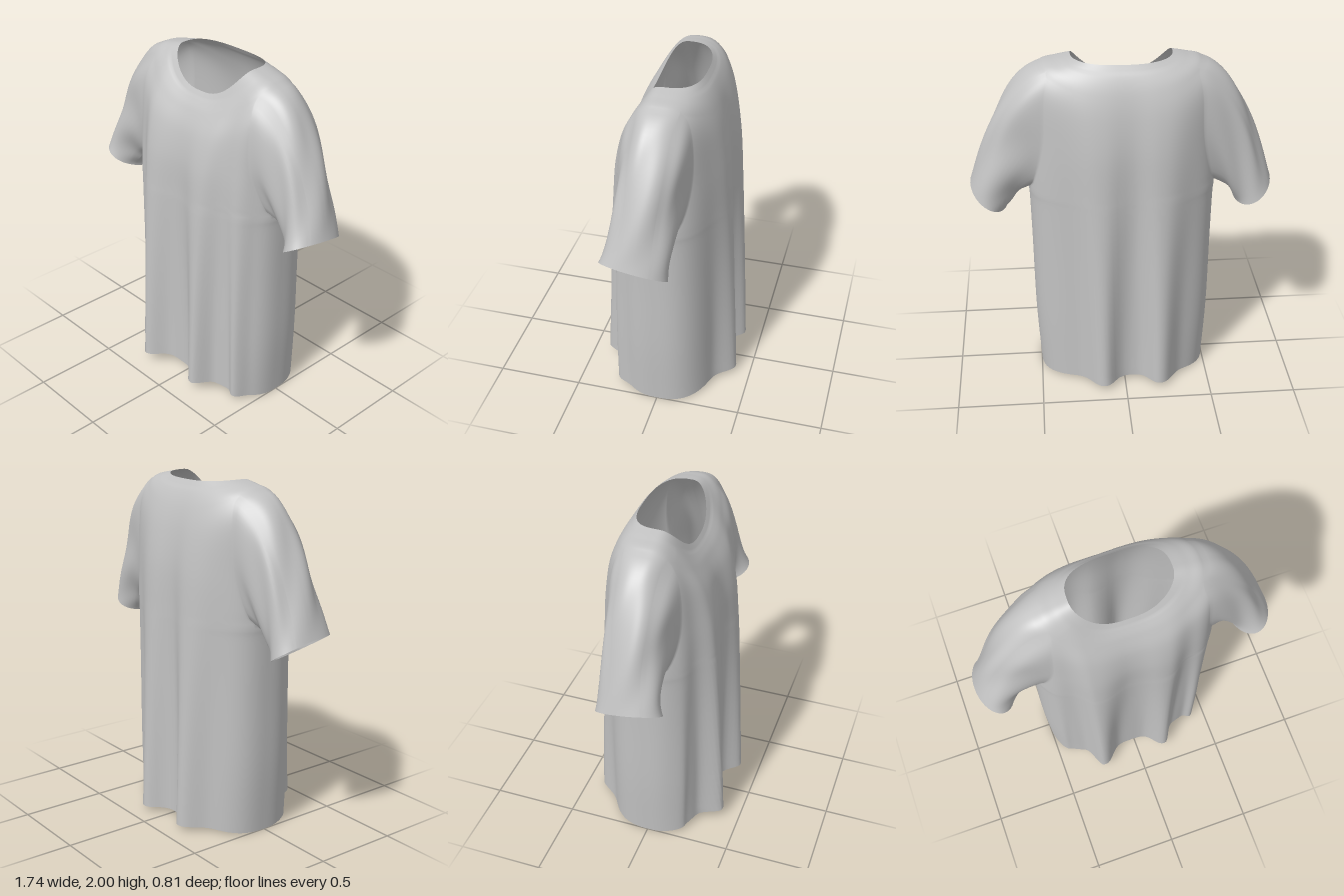
import * as THREE from 'three';

const U = 192;            // columns around the body
const SUB = 6;            // rows per profile span
const HALF = 16;          // half width of an armhole, in columns
const ARM_LOW = 4 * SUB, ARM_HIGH = 7 * SUB;
const SLEEVE_ROWS = 26;

// Profiles from hem to neckline: [outward, height]
const sideProfile = [[.5, 0], [.52, .4], [.525, .85], [.53, 1.15], [.535, 1.25], [.527, 1.52], [.525, 1.86], [.45, 1.957], [.36, 1.984], [.28, 2]];
const frontProfile = [[.3, .07], [.295, .42], [.29, .85], [.287, 1.15], [.284, 1.25], [.276, 1.45], [.245, 1.62], [.2, 1.73], [.168, 1.785], [.14, 1.83]];
const backProfile = [[.31, .03], [.305, .4], [.3, .85], [.298, 1.15], [.297, 1.25], [.292, 1.5], [.27, 1.7], [.24, 1.84], [.205, 1.93], [.17, 1.985]];

// Hanging folds: [x, depth, width towards -x, width towards +x]
const frontFolds = [[-.25, .12, .035, .07], [.175, .105, .06, .04], [.41, .05, .03, .025], [-.46, .02, .03, .03]];
const backFolds = [[-.21, .105, .065, .06], [.13, .105, .06, .065]];

const curve = (pts) => new THREE.CatmullRomCurve3(pts.map(([a, b]) => new THREE.Vector3(a, b, 0)), false, 'catmullrom', 0.5);
const softPow = (v) => Math.sign(v) * Math.pow(Math.abs(v), 0.75);

// Half angle of the oval armhole at a row, in radians
function armholeAngle(r) {
  const s = (r - ARM_LOW) / (ARM_HIGH - ARM_LOW);
  let degrees = 25;
  if (s < 0) degrees = THREE.MathUtils.lerp(14, 34, 1 - r / ARM_LOW);
  else if (s < 1) degrees = 14 + 11 * s + 19 * Math.pow(Math.sin(Math.PI * s), 0.65);
  return THREE.MathUtils.degToRad(degrees);
}

// Column to angle, so that column HALF follows the armhole edge
function columnAngle(u, r) {
  const quarter = U / 4, edge = armholeAngle(r);
  const q = Math.round(u / (U / 2)) * (U / 2);
  const d = u - q, k = Math.abs(d);
  const a = k <= HALF ? edge * k / HALF : edge + (Math.PI / 2 - edge) * (k - HALF) / (quarter - HALF);
  return q / U * Math.PI * 2 + Math.sign(d) * a;
}

export function createModel() {
  const fabric = new THREE.MeshStandardMaterial({ color: 0xc2c2c2, side: THREE.DoubleSide });
  fabric.name = 'grey fabric';

  const verts = [];
  const add = (p) => verts.push(p) - 1;
  const quad = (list, a, b, c, d) => list.push(a, d, c, a, c, b);

  // Body: rings lofted between side, front and back profiles
  const rows = (sideProfile.length - 1) * SUB;
  const [side, front, back] = [sideProfile, frontProfile, backProfile].map(curve);
  for (let r = 0; r <= rows; r++) {
    const t = r / rows;
    const s = side.getPoint(t), f = front.getPoint(t), b = back.getPoint(t);
    // folds grow shallower and wider towards the chest
    const fade = Math.pow(THREE.MathUtils.clamp((1.8 - f.y) / 1.8, 0, 1), 0.6);
    const spread = 1 + 1.2 * Math.pow(f.y / 1.8, 2);
    for (let u = 0; u < U; u++) {
      const a = columnAngle(u, r), c = Math.cos(a), n = Math.sin(a);
      const face = n >= 0 ? f : b;
      const x = s.x * softPow(c);
      let z = face.x * softPow(n);
      for (const [fx, depth, wl, wr] of n >= 0 ? frontFolds : backFolds) {
        const edge = Math.min(1, Math.abs(n) * 3 * Math.abs(n));
        const width = (x < fx ? wl : wr) * spread;
        z += Math.sign(n) * edge * depth * fade * Math.exp(-Math.pow(Math.abs(x - fx) / width, 2.4) / 2);
      }
      add(new THREE.Vector3(x, s.y * c * c + face.y * n * n, z));
    }
  }
  const id = (u, r) => r * U + (u + U) % U;

  // Body faces, leaving the armholes open
  const bodyFaces = [];
  const inArmhole = (u, r) => {
    if (r < ARM_LOW || r >= ARM_HIGH) return false;
    return [0, U / 2, U].some((m) => u >= m - HALF && u < m + HALF);
  };
  for (let r = 0; r < rows; r++) {
    for (let u = 0; u < U; u++) {
      if (!inArmhole(u, r)) quad(bodyFaces, id(u, r), id(u + 1, r), id(u + 1, r + 1), id(u, r + 1));
    }
  }

  // Sleeves: continue each armhole edge along curves to a tilted oval cuff
  function sleeve(mid, sign) {
    const loop = [];
    for (let u = -HALF; u < HALF; u++) loop.push(id(mid + u, ARM_LOW));
    for (let r = ARM_LOW; r < ARM_HIGH; r++) loop.push(id(mid + HALF, r));
    for (let u = HALF; u > -HALF; u--) loop.push(id(mid + u, ARM_HIGH));
    for (let r = ARM_HIGH; r > ARM_LOW; r--) loop.push(id(mid - HALF, r));

    const columns = loop.map((start) => {
      const p0 = verts[start];
      const ang = Math.atan2((p0.y - 1.6) / 0.35, p0.z / 0.19);
      const c = Math.cos(ang), n = Math.sin(ang);
      const k = THREE.MathUtils.lerp(0.2, 1, (n + 1) / 2);
      const p3 = new THREE.Vector3(sign * (0.765 + 0.105 * n), 1.155 + 0.065 * n + 0.03 * c, 0.025 + 0.015 * sign + 0.188 * c);
      // the sleeve narrows a little between shoulder and cuff
      const p1 = new THREE.Vector3(p0.x + sign * 0.23 * k, p0.y - 0.07 * k, p0.z * 0.85);
      const p2 = new THREE.Vector3(p3.x - sign * 0.08 * k, p3.y + 0.23 * k, 0.145 * c);
      const path = new THREE.CubicBezierCurve3(p0, p1, p2, p3);
      const ids = [start];
      for (let i = 1; i <= SLEEVE_ROWS; i++) {
        const t = i / SLEEVE_ROWS;
        const p = path.getPoint(t);
        // soft wrinkles
        const w = 0.008 * Math.sin(Math.PI * t) * Math.sin(5 * ang + 8 * t * sign);
        p.x += sign * w * n;
        p.z += w * c;
        ids.push(add(p));
      }
      return ids;
    });
    const faces = [];
    columns.forEach((col, i) => {
      const next = columns[(i + 1) % columns.length];
      for (let j = 0; j < SLEEVE_ROWS; j++) quad(faces, col[j], next[j], next[j + 1], col[j + 1]);
    });
    return faces;
  }
  const leftFaces = sleeve(0, 1);
  const rightFaces = sleeve(U / 2, -1);

  // Shared smooth normals keep the shoulder seams seamless
  const whole = new THREE.BufferGeometry().setFromPoints(verts);
  whole.setIndex([...bodyFaces, ...leftFaces, ...rightFaces]);
  whole.computeVertexNormals();

  const group = new THREE.Group();
  group.name = 'shirt';
  for (const [name, faces] of [['body', bodyFaces], ['leftSleeve', leftFaces], ['rightSleeve', rightFaces]]) {
    const geometry = new THREE.BufferGeometry();
    geometry.setAttribute('position', whole.getAttribute('position'));
    geometry.setAttribute('normal', whole.getAttribute('normal'));
    geometry.setIndex(faces);
    const mesh = new THREE.Mesh(geometry, fabric);
    mesh.name = name;
    group.add(mesh);
  }
  return group;
}
